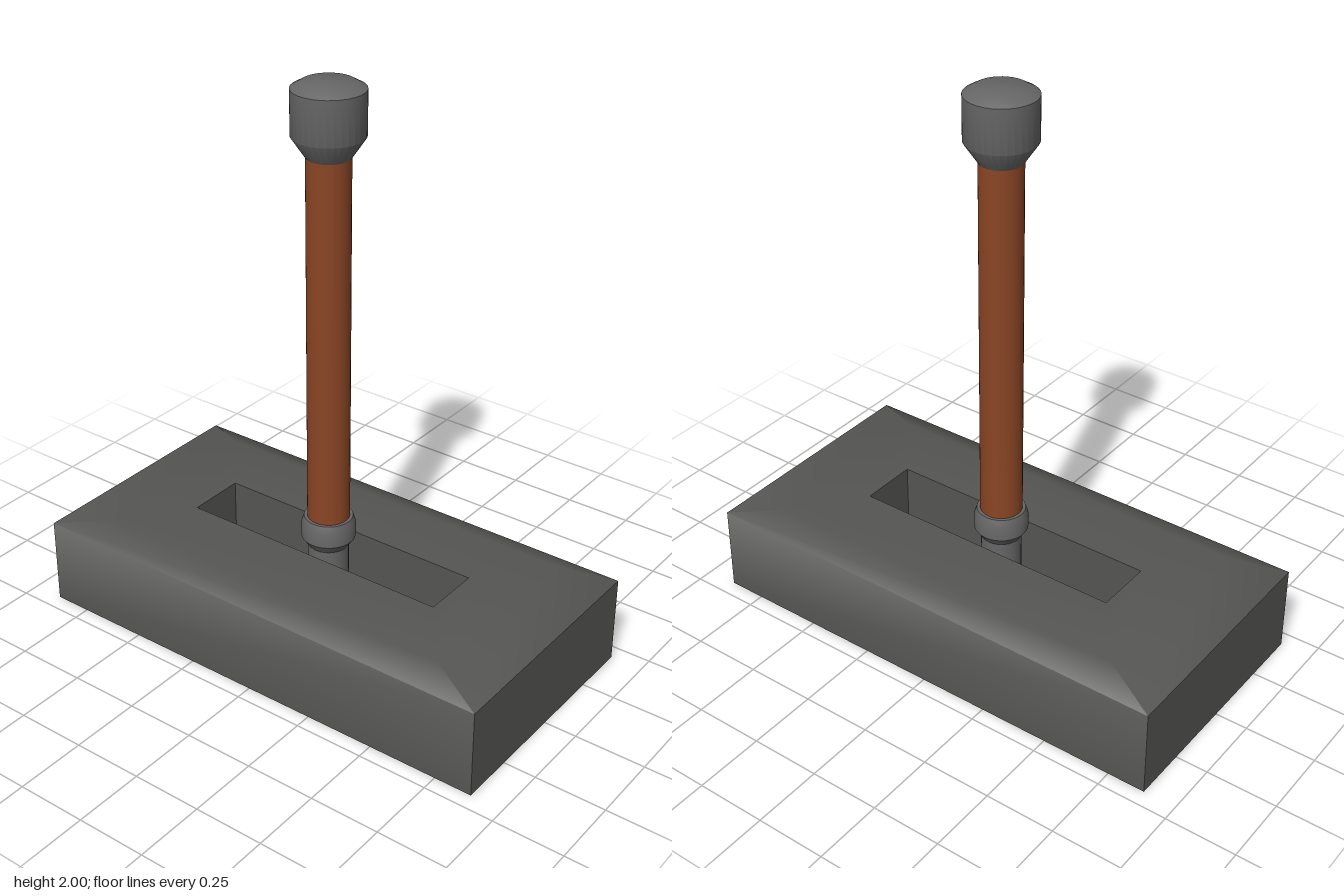
import * as THREE from 'three';
import { toCreasedNormals } from 'three/addons/utils/BufferGeometryUtils.js';

const paint = (color) => new THREE.MeshStandardMaterial({ color, side: THREE.DoubleSide });

// Lofts rectangles [halfX, halfZ, y]; each ring runs counterclockwise seen from above.
function rectLoft(rings, capStart, capEnd) {
  const pos = [], idx = [];
  for (const [x, z, y] of rings) pos.push(x, y, z, x, y, -z, -x, y, -z, -x, y, z);
  for (let i = 0; i < rings.length - 1; i++) {
    for (let j = 0; j < 4; j++) {
      const a = i * 4 + j, b = i * 4 + (j + 1) % 4;
      idx.push(a, b, b + 4, a, b + 4, a + 4);
    }
  }
  const n = (rings.length - 1) * 4;
  if (capStart) idx.push(0, 2, 1, 0, 3, 2);
  if (capEnd) idx.push(n, n + 1, n + 2, n, n + 2, n + 3);
  const g = new THREE.BufferGeometry();
  g.setAttribute('position', new THREE.Float32BufferAttribute(pos, 3));
  g.setIndex(idx);
  return g;
}

function lathe(profile, crease = 0.5) {
  const g = new THREE.LatheGeometry(profile.map(([r, y]) => new THREE.Vector2(r, y)), 32);
  return toCreasedNormals(g, crease);
}

export function createModel() {
  const model = new THREE.Group();
  const stone = paint(0x555553), metal = paint(0x666666), wood = paint(0x8a4524);
  const add = (name, geometry, material) => {
    const mesh = new THREE.Mesh(geometry, material);
    mesh.name = name;
    model.add(mesh);
  };

  // Heavy head: straight sides, shallow bevel, then down into the slot
  const head = rectLoft([
    [0.885, 0.443, 0], [0.885, 0.443, 0.315], [0.68, 0.34, 0.355],
    [0.505, 0.105, 0.355], [0.505, 0.105, 0.01],
  ], true, false);
  add('head', toCreasedNormals(head, THREE.MathUtils.degToRad(74)), stone);

  // Dark floor of the slot
  const floor = rectLoft([[0.505, 0.105, 0.01]], false, true);
  floor.computeVertexNormals();
  add('slotFloor', floor, paint(0x111111));

  // Stub of the handle inside the slot
  add('handleStub', lathe([[0.07, 0.01], [0.07, 0.355]]), metal);

  // Collar where the handle meets the head
  add('collar', lathe([
    [0, 0.355], [0.07, 0.355], [0.093, 0.388], [0.093, 0.44], [0.084, 0.467], [0, 0.467],
  ]), metal);

  // Wooden grip
  add('handle', lathe([[0.073, 0.46], [0.073, 1.77]]), wood);

  // Flared pommel
  add('pommel', lathe([
    [0, 1.76], [0.073, 1.76], [0.12, 1.83], [0.12, 1.98], [0.085, 2], [0, 2],
  ], 0.6), metal);

  return model;
}
